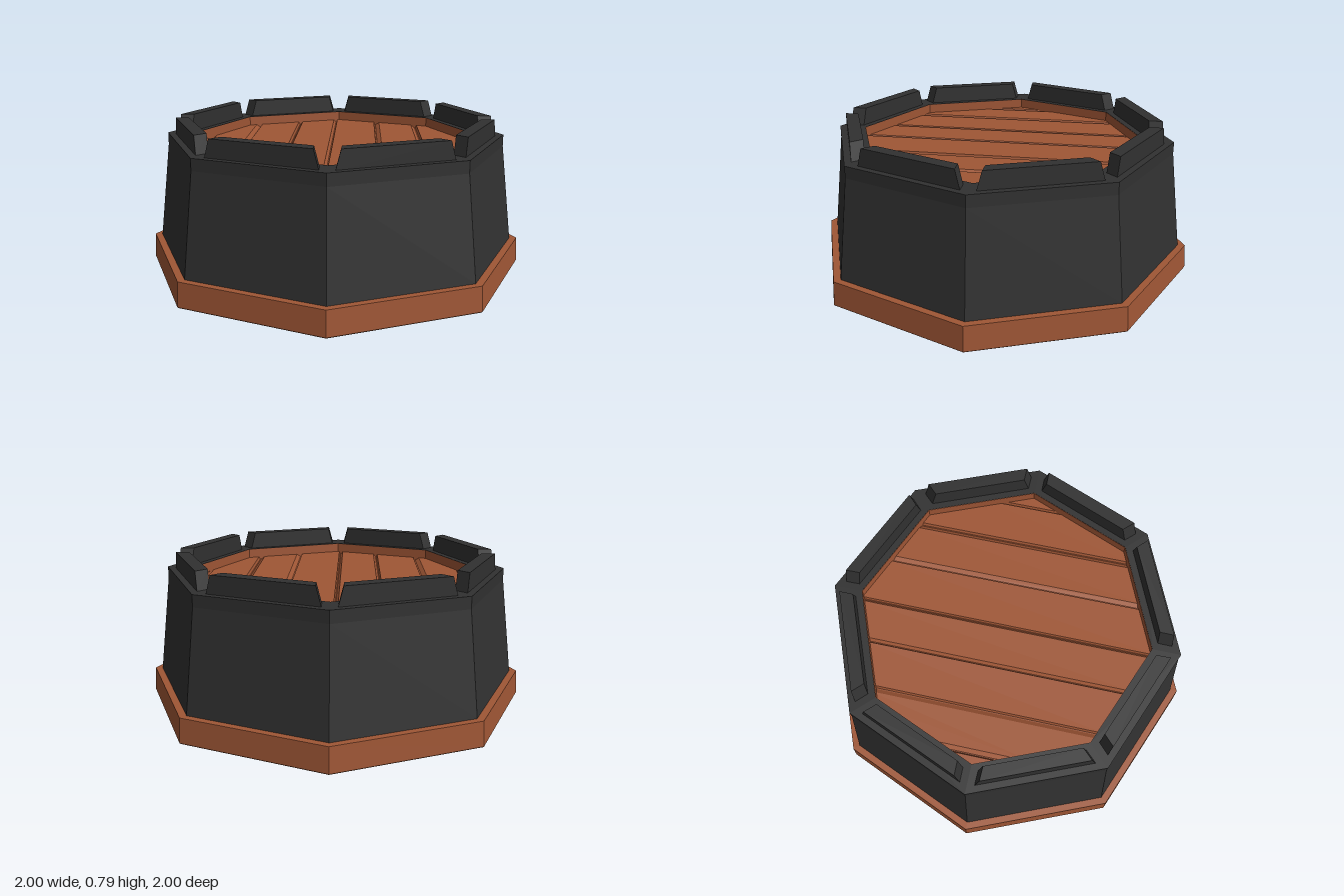
import * as THREE from 'three';

const wood = new THREE.MeshStandardMaterial({ color: 0x9f5635, flatShading: true, name: 'brown wood' });
const iron = new THREE.MeshStandardMaterial({ color: 0x313131, flatShading: true, name: 'dark iron' });

// Eight-sided ring from a closed (radius, height) profile: up the outside, down the inside
function ring(name, profile, material) {
  const points = [...profile, profile[0]].map(([r, y]) => new THREE.Vector2(r, y));
  const mesh = new THREE.Mesh(new THREE.LatheGeometry(points, 8), material);
  mesh.name = name;
  return mesh;
}

// Solid between two matching outlines of [x, z], counter-clockwise from above
function prism(lower, upper, y0, y1) {
  const n = lower.length;
  const pos = [];
  const index = [];
  for (const [x, z] of lower) pos.push(x, y0, z);
  for (const [x, z] of upper) pos.push(x, y1, z);
  for (let i = 0; i < n; i++) {
    const j = (i + 1) % n;
    index.push(i, j, n + j, i, n + j, n + i);
    if (i > 0 && i < n - 1) index.push(n, n + i, n + i + 1, 0, i + 1, i);
  }
  const geo = new THREE.BufferGeometry();
  geo.setAttribute('position', new THREE.Float32BufferAttribute(pos, 3));
  geo.setIndex(index);
  const flat = geo.toNonIndexed();
  flat.computeVertexNormals();
  return flat;
}

// Board along z between x0 and x1, trimmed to the octagonal floor
function board(name, x0, x1, y0, y1, bevel) {
  const R = 0.78;
  const v = R * Math.SQRT1_2;
  const halfLength = (x) => {
    const a = Math.abs(x);
    return a < v ? R - ((R - v) * a) / v : (v * (R - a)) / (R - v);
  };
  const xs = [x0, ...[-v, 0, v].filter((x) => x > x0 + 0.03 && x < x1 - 0.03), x1];
  const outline = (inset) => {
    const side = xs.map((x, i) => {
      const xi = i === 0 ? x + inset : i === xs.length - 1 ? x - inset : x;
      return [xi, halfLength(xi)];
    });
    return [...side, ...side.map(([x, z]) => [x, -z]).reverse()];
  };
  const mesh = new THREE.Mesh(prism(outline(0), outline(bevel), y0, y1), wood);
  mesh.name = name;
  return mesh;
}

export function createModel() {
  const model = new THREE.Group();
  model.name = 'octagonalPlatform';

  // Hollow wooden foot, tapered wall with a flat rim, and the wooden curb lining the rim
  model.add(
    ring('foot', [[0.972, 0], [0.994, 0], [1, 0.005], [0.992, 0.13], [0.95, 0.13], [0.962, 0.105]], wood),
    ring('wall', [[0.94, 0.105], [0.957, 0.105], [0.954, 0.13], [0.89, 0.64], [0.89, 0.7],
      [0.747, 0.7], [0.747, 0.685], [0.87, 0.685]], iron),
    ring('curb', [[0.745, 0.63], [0.785, 0.63], [0.785, 0.69], [0.745, 0.699]], wood)
  );

  // Floor boards with bevelled edges, and a narrow batten beneath each joint
  const floor = new THREE.Group();
  floor.name = 'floor';
  const joints = [[-0.69, 0.016], [-0.465, 0.05], [-0.235, 0.016], [-0.015, 0.03],
    [0.225, 0.012], [0.465, 0.05], [0.685, 0.016]];
  let start = -0.775;
  for (const [x, width] of [...joints, [0.775, 0.012]]) {
    floor.add(board('floorBoard', start, x, 0.632, 0.65, width / 2));
    start = x;
  }
  for (const [x] of joints) floor.add(board('batten', x - 0.03, x + 0.03, 0.61, 0.635, 0));
  model.add(floor);

  // One raised block on each side of the rim, with mitred, sloping ends
  const outline = (half) => [[-half, 0.789], [half, 0.789], [half - 0.028, 0.724], [0.028 - half, 0.724]];
  const blockGeometry = prism(outline(0.29), outline(0.263), 0.695, 0.79);
  for (let i = 0; i < 8; i++) {
    const block = new THREE.Mesh(blockGeometry, iron);
    block.name = 'rimBlock';
    block.rotation.y = ((i + 0.5) * Math.PI) / 4;
    model.add(block);
  }
  return model;
}
